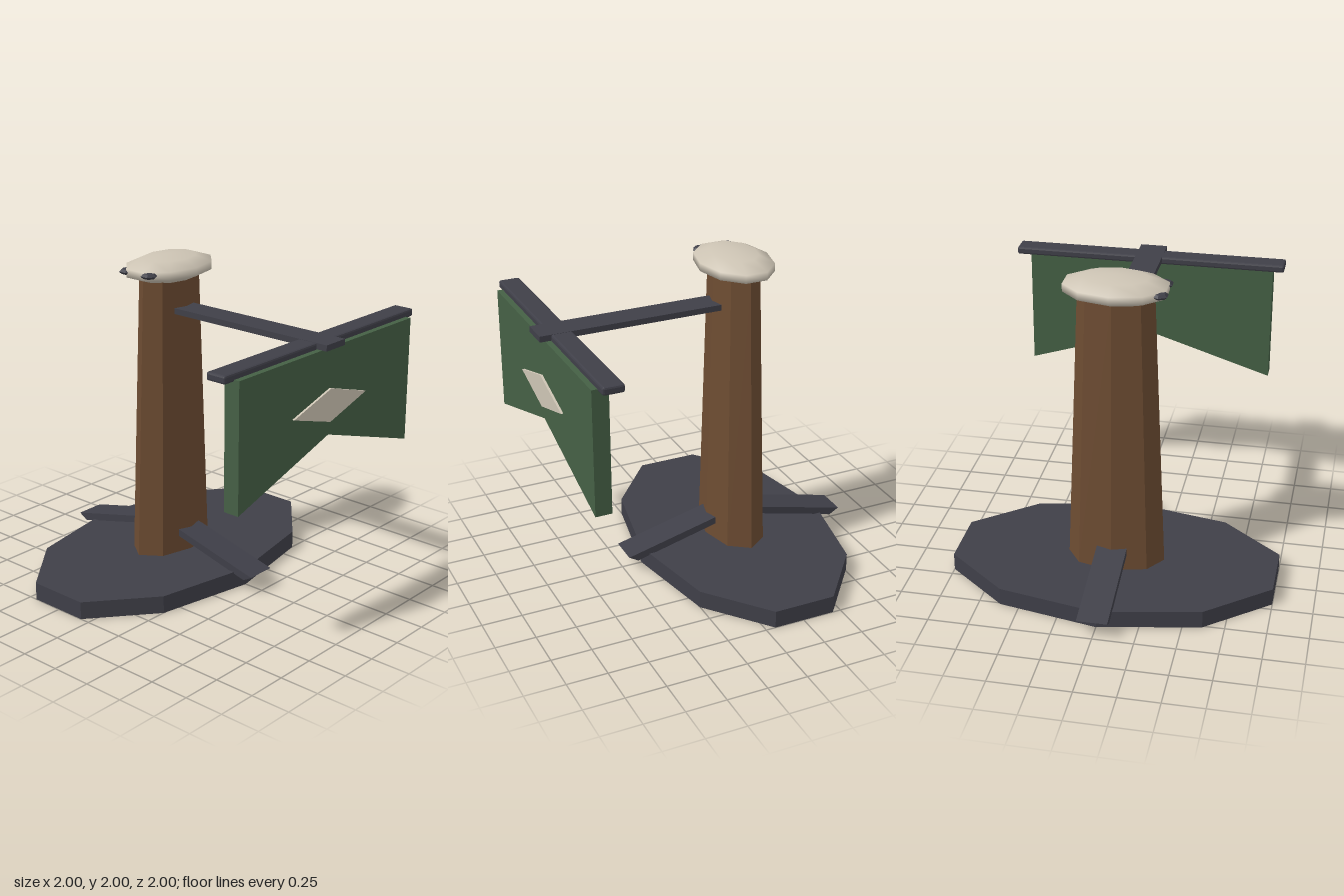
import * as THREE from 'three';
import { RoundedBoxGeometry } from 'three/addons/geometries/RoundedBoxGeometry.js';

const CX = -0.255; // centre line of the post

export function createModel() {
  const model = new THREE.Group();
  model.name = 'bannerPost';

  const material = (name, color, flatShading = true) => {
    const m = new THREE.MeshStandardMaterial({ color, flatShading });
    m.name = name;
    return m;
  };
  const slate = material('darkSlate', 0x3f3f48);
  const wood = material('brownWood', 0x6d4c32);
  const cloth = material('greenCloth', 0x456045);
  const cream = material('cream', 0xcdc4b4, false);

  const add = (name, geometry, mat, x = 0, y = 0, z = 0) => {
    const mesh = new THREE.Mesh(geometry, mat);
    mesh.name = name;
    mesh.position.set(x, y, z);
    model.add(mesh);
    return mesh;
  };

  // Extrudes an outline to a given depth, centred on z = 0
  const slab = (points, depth) => {
    const shape = new THREE.Shape(points.map(([x, y]) => new THREE.Vector2(x, y)));
    return new THREE.ExtrudeGeometry(shape, { depth, bevelEnabled: false }).translate(0, 0, -depth / 2);
  };

  // Oval ten-sided base
  const base = new THREE.CylinderGeometry(1, 1, 0.11, 10, 1, false, Math.PI / 2);
  base.scale(0.626, 1, 1.051);
  add('base', base, slate, CX, 0.055);

  // Tapered eight-sided post
  const post = new THREE.CylinderGeometry(0.76, 1, 1.77, 8);
  post.scale(0.178, 1, 0.302);
  add('post', post, wood, CX, 0.985);

  // Sloping braces on both sides of the post
  const braceOutline = [[0.1, 0.229], [0.685, 0.08], [0.745, 0.115], [0.1, 0.274]];
  add('leftBrace', slab(braceOutline, 0.186), slate, CX);
  add('rightBrace', slab(braceOutline, 0.186), slate, CX).rotation.y = Math.PI;

  // Rounded cap with two eyes
  const cap = new THREE.SphereGeometry(1, 10, 5);
  cap.scale(0.231, 0.08, 0.332);
  add('cap', cap, cream, CX, 1.92);
  for (const [name, side] of [['leftEye', 1], ['rightEye', -1]]) {
    const eye = new THREE.SphereGeometry(1, 6, 4);
    eye.scale(0.053, 0.021, 0.055);
    add(name, eye, slate, CX + side * 0.088, 1.925, 0.267);
  }

  // Arm and crossbar
  add('arm', new THREE.BoxGeometry(1.15, 0.036, 0.17), slate, 0.425, 1.678);
  add('crossbar', new RoundedBoxGeometry(0.13, 0.049, 1.73, 1, 0.012), slate, 0.865, 1.67);

  // Notched banner with a diamond on its outer face
  const banner = slab([[-0.79, 0.89], [0, 1.14], [0.79, 0.89], [0.79, 1.658], [-0.79, 1.658]], 0.1);
  add('banner', banner, cloth, 0.915).rotation.y = Math.PI / 2;
  const diamond = slab([[-0.335, 1.32], [0, 1.22], [0.335, 1.32], [0, 1.42]], 0.016);
  add('diamond', diamond, cream, 0.971).rotation.y = Math.PI / 2;

  return model;
}
